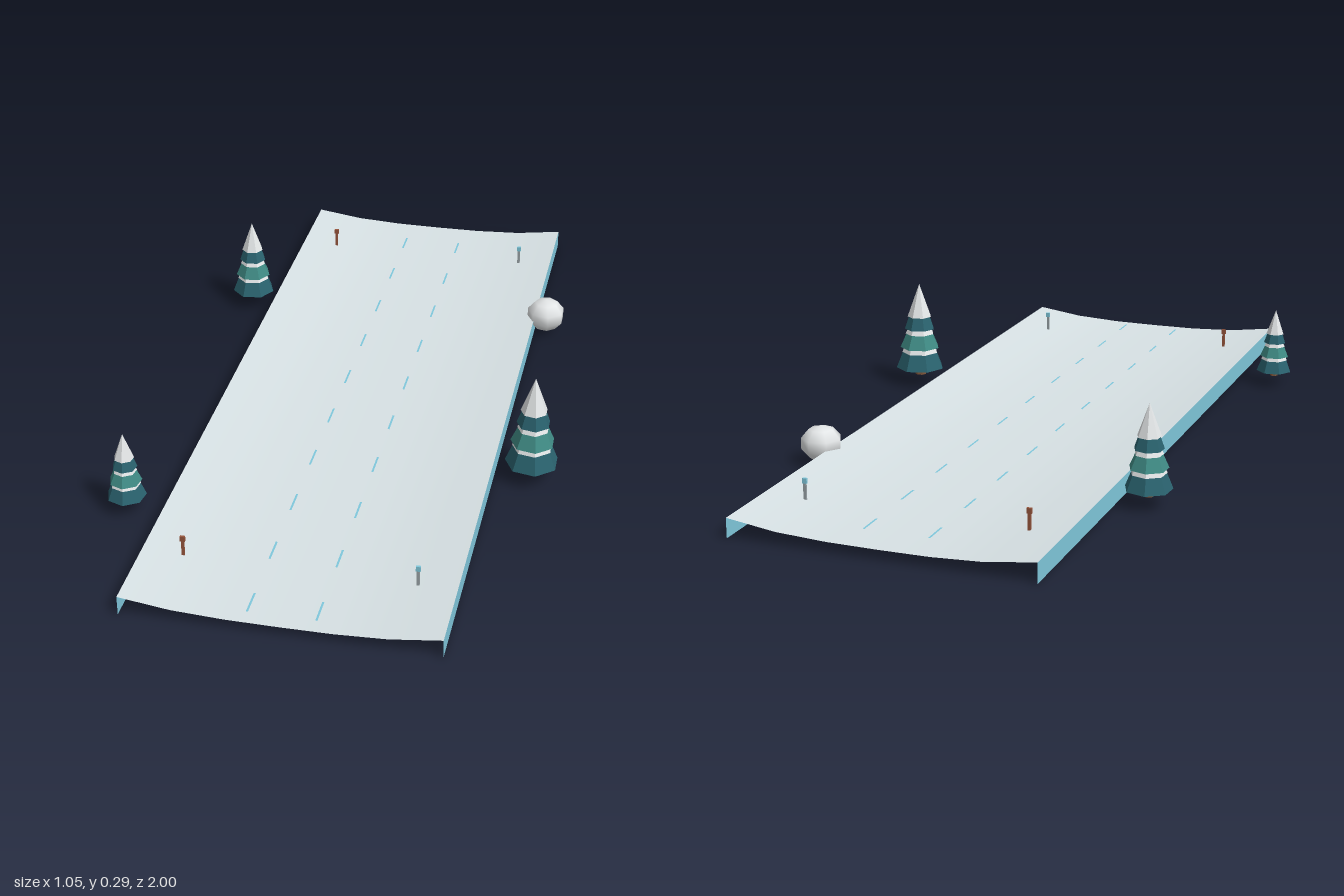
import * as THREE from 'three';

const mat = (name, color, extra = {}) => {
  const m = new THREE.MeshStandardMaterial({ color, ...extra });
  m.name = name;
  return m;
};

export function createModel() {
  const both = { side: THREE.DoubleSide };
  const flat = { flatShading: true };
  const ice = mat('pale ice', 0xd8e2e5, both);
  const blue = mat('ice blue', 0x80c8dc, both);
  const snow = mat('snow', 0xeef1f2, flat);
  const softSnow = mat('soft snow', 0xeef1f2);
  const darkPine = mat('dark pine', 0x2a626e, flat);
  const pine = mat('pine', 0x3f8a84, flat);
  const bark = mat('bark', 0x7d5438, flat);
  const rust = mat('rust', 0x96553c);
  const steel = mat('steel', 0x98a2a6);

  const model = new THREE.Group();
  model.name = 'icyTrack';
  const add = (parent, name, geo, material, x = 0, y = 0, z = 0) => {
    const mesh = new THREE.Mesh(geo, material);
    mesh.name = name;
    mesh.position.set(x, y, z);
    parent.add(mesh);
    return mesh;
  };

  // Track surface: a sheet whose long edges curl upward
  const cx = -0.004, half = 0.371;
  const sheet = new THREE.PlaneGeometry(half * 2, 2, 6, 1).rotateX(-Math.PI / 2);
  const p = sheet.attributes.position;
  for (let i = 0; i < p.count; i++) {
    p.setY(i, 0.025 + 0.024 * Math.abs(p.getX(i) / half) ** 3);
  }
  sheet.computeVertexNormals();
  add(model, 'trackSurface', sheet, ice, cx);

  // Thin skirts hanging from both long edges
  for (const s of [-1, 1]) {
    const skirt = new THREE.PlaneGeometry(2, 0.049).rotateY(s * Math.PI / 2);
    add(model, s < 0 ? 'rightSkirt' : 'leftSkirt', skirt, blue, cx + s * half, 0.0245, 0);
  }

  // Two rows of lane dashes
  const dash = new THREE.PlaneGeometry(0.005, 0.068).rotateX(-Math.PI / 2);
  for (const x of [-0.084, 0.075]) {
    for (let i = 0; i < 10; i++) add(model, 'laneDash', dash, blue, x, 0.028, -0.87 + i * 0.2);
  }

  // Marker posts with a head, one pair at each end
  for (const z of [-0.8, 0.8]) {
    for (const [x, pole, head, w] of [[-0.28, rust, rust, 0.012], [0.273, steel, blue, 0.011]]) {
      const post = new THREE.Group();
      post.name = 'markerPost';
      post.position.set(x, 0.025, z);
      add(post, 'postPole', new THREE.BoxGeometry(0.007, 0.052, 0.005), pole, 0, 0.026, 0);
      add(post, 'postHead', new THREE.BoxGeometry(w, 0.013, 0.006), head, 0, 0.0565, 0);
      model.add(post);
    }
  }

  // Snowy firs of unit height: name, material, bottom, top, bottom radius, top radius
  const tiers = [
    ['trunk', bark, 0, 0.1, 0.06, 0.055],
    ['lowerBranches', darkPine, 0.078, 0.26, 0.258, 0.185],
    ['lowerSnow', snow, 0.25, 0.32, 0.195, 0.165],
    ['middleBranches', pine, 0.305, 0.47, 0.213, 0.14],
    ['middleSnow', snow, 0.455, 0.53, 0.155, 0.12],
    ['upperBranches', darkPine, 0.51, 0.66, 0.162, 0.11],
    ['snowCap', snow, 0.645, 1, 0.13, 0],
  ];
  for (const [x, z, h, turn] of [[0.458, 0.262, 0.261, 0.25], [-0.45, -0.47, 0.227, 0.6], [-0.483, 0.6, 0.189, 1]]) {
    const tree = new THREE.Group();
    tree.name = 'firTree';
    tree.position.set(x, 0.025, z);
    tree.rotation.y = turn;
    tree.scale.setScalar(h);
    for (const [name, m, y0, y1, r0, r1] of tiers) {
      add(tree, name, new THREE.CylinderGeometry(r1, r0, y1 - y0, 7), m, 0, (y0 + y1) / 2, 0);
    }
    model.add(tree);
  }

  // Slightly flattened snow mound beside the track
  const mound = add(model, 'snowMound', new THREE.SphereGeometry(0.054, 7, 5), softSnow, 0.397, 0.055, -0.472);
  mound.scale.set(1, 0.85, 0.97);

  return model;
}
